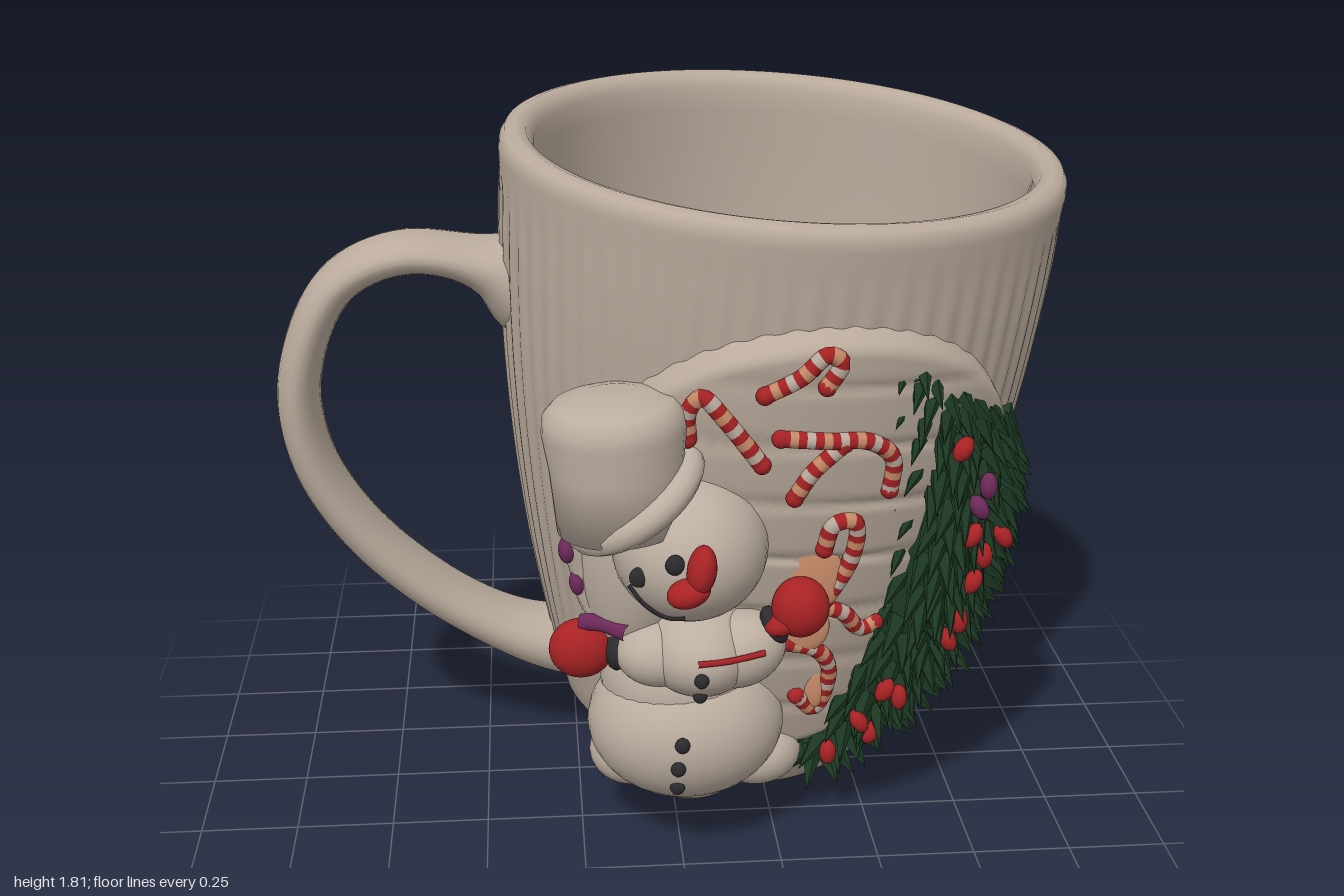
import * as THREE from 'three';
import { mergeVertices, mergeGeometries } from 'three/addons/utils/BufferGeometryUtils.js';

const mat = (name, color) => {
  const m = new THREE.MeshStandardMaterial({ color });
  m.name = name;
  return m;
};
const V = (x, y, z) => new THREE.Vector3(x, y, z);

// The mug leans a little and is slightly oval: its axis and its outer radius at a given height
const AXIS = V(0.066, 1, 0.084).normalize(), BASE = V(0.181, 0.05, -0.207);
const EX = 1.03, EZ = 0.98;
const cx = y => 0.178 + 0.066 * y;
const cz = y => -0.21 + 0.084 * y;
const radius = s => 0.687 - 0.27 * (1 - s / 1.68) ** 2;
// Point around the mug; angle in degrees from the front towards +x
const around = (deg, y, r) => {
  const a = THREE.MathUtils.degToRad(deg);
  return V(cx(y) + EX * r * Math.sin(a), y, cz(y) + EZ * r * Math.cos(a));
};
// Point raised above the front of the mug wall at x, y
const onFront = (x, y, off) => {
  const r = radius(y) + off;
  return V(x, y, cz(y) + EZ * Math.sqrt(Math.max(0, r * r - ((x - cx(y)) / EX) ** 2)));
};
// Keep buried vertices within the wall so nothing shows inside the mug
function outside(g) {
  const a = g.attributes.position, p = V(0, 0, 0);
  for (let i = 0; i < a.count; i++) {
    p.fromBufferAttribute(a, i);
    const dx = p.x - cx(p.y), dz = p.z - cz(p.y);
    const r = Math.hypot(dx / EX, dz / EZ), min = radius(p.clone().sub(BASE).dot(AXIS)) - 0.04;
    if (r < min) a.setXYZ(i, cx(p.y) + dx * min / r, p.y, cz(p.y) + dz * min / r);
  }
  return g;
}

// Smooth surface from a rule f(u, v) with u, v in 0..1
function surface(nu, nv, f) {
  const pos = [], idx = [];
  for (let i = 0; i <= nu; i++) for (let j = 0; j <= nv; j++) pos.push(...f(i / nu, j / nv).toArray());
  for (let i = 0; i < nu; i++) for (let j = 0; j < nv; j++) {
    const a = i * (nv + 1) + j, b = a + nv + 1;
    idx.push(a, b, a + 1, b, b + 1, a + 1);
  }
  const g = new THREE.BufferGeometry();
  g.setAttribute('position', new THREE.Float32BufferAttribute(pos, 3));
  g.setIndex(idx);
  const m = mergeVertices(g, 1e-5);
  m.computeVertexNormals();
  return m;
}

function mugGeometry() {
  const p = [[0, 0.03], [0.265, 0.03], [0.285, 0.02], [0.3, -0.01], [0.325, -0.018], [0.36, -0.005], [0.392, 0.03], [0.42, 0.075]];
  for (let s = 0.13; s < 1.64; s += 0.07) p.push([radius(s), s]);
  p.push([0.69, 1.645], [0.688, 1.67], [0.677, 1.691], [0.652, 1.7], [0.625, 1.692], [0.606, 1.66]);
  for (let s = 1.6; s > 0.5; s -= 0.1) p.push([radius(s) - 0.083, s]);
  p.push([0.435, 0.4], [0.38, 0.28], [0.3, 0.19], [0.2, 0.14], [0.1, 0.12], [0, 0.115]);
  const g = new THREE.LatheGeometry(p.map(q => new THREE.Vector2(...q)), 384);
  g.deleteAttribute('uv');
  g.deleteAttribute('normal');
  // Fine vertical ribs on the outer wall
  const a = g.attributes.position;
  for (let i = 0; i < a.count; i++) {
    const x = a.getX(i), y = a.getY(i), z = a.getZ(i), r = Math.hypot(x, z);
    if (y < 0.12 || y > 1.6 || r < radius(y) - 0.03) continue;
    const fade = Math.min(1, (y - 0.12) / 0.5, (1.6 - y) / 0.1);
    const k = 1 + 0.003 * fade * Math.cos(64 * Math.atan2(x, z)) / r;
    a.setXYZ(i, x * k, y, z * k);
  }
  const m = mergeVertices(g.scale(EX, 1, EZ), 1e-5);
  m.computeVertexNormals();
  return m;
}

function handleGeometry() {
  const path = new THREE.CatmullRomCurve3([
    V(-0.34, 1.37, -0.07), V(-0.46, 1.435, -0.06), V(-0.67, 1.472, -0.045), V(-0.84, 1.39, -0.05),
    V(-0.945, 1.15, -0.06), V(-0.93, 0.93, -0.075), V(-0.82, 0.71, -0.1), V(-0.62, 0.495, -0.14),
    V(-0.42, 0.36, -0.17), V(-0.29, 0.315, -0.18), V(-0.16, 0.31, -0.18)]);
  return outside(surface(80, 24, (u, v) => {
    const c = path.getPointAt(u), t = path.getTangentAt(u), f = v * Math.PI * 2;
    const n = V(-t.y, t.x, 0).normalize();
    const flare = Math.exp(-((u / 0.06) ** 2)) * 0.08 + Math.exp(-(((1 - u) / 0.11) ** 2)) * 0.04;
    c.addScaledVector(n, (0.05 + 0.014 * u + flare) * Math.cos(f));
    c.z -= (0.11 + flare * 0.5) * Math.sin(f);
    return c;
  }));
}

// Raised oval with plank grooves behind the figures
const panelGeometry = () => surface(44, 96, (u, v) => {
  const a = v * Math.PI * 2, deg = 5 + 56 * u * Math.cos(a), y = 0.825 + 0.65 * u * Math.sin(a);
  const edge = THREE.MathUtils.smoothstep(1 - u, 0, 0.12);
  const t = (((y + 0.0008 * deg) / 0.155) % 1) - 0.5;
  return around(deg, y, radius(y) - 0.02 + edge * (0.075 - 0.01 * (1 - u ** 6) * Math.exp(-((t / 0.08) ** 2))));
});

// Tree outline: height, left angle, right angle, outer radius
const ROWS = [[0.12, 10, 15, 0.5], [0.3, 18, 46, 0.61], [0.5, 24, 58, 0.68], [0.7, 27, 62, 0.72],
  [0.95, 27, 60, 0.745], [1.12, 24, 53, 0.735], [1.25, 20.5, 36, 0.725], [1.4, 17, 19, 0.715]];
const treeRow = y => {
  let i = 0;
  while (i < ROWS.length - 2 && y > ROWS[i + 1][0]) i++;
  const k = (y - ROWS[i][0]) / (ROWS[i + 1][0] - ROWS[i][0]);
  return ROWS[i].map((q, n) => THREE.MathUtils.lerp(q, ROWS[i + 1][n], k));
};
const onTree = (u, y, off) => {
  const [, l, r, rad] = treeRow(y);
  return around(THREE.MathUtils.lerp(l, r, u), y, rad - 0.07 * Math.abs(2 * u - 1) ** 6 + off);
};
// Front skin of the tree, with side skirts that run back into the wall
const treeBodyGeometry = () => surface(24, 32, (u, v) => {
  const y = 0.12 + v * 1.26, k = THREE.MathUtils.clamp((u - 0.1) / 0.8, 0, 1);
  return onTree(k, y, u < 0.05 || u > 0.95 ? -0.2 : -0.02);
});

function needlesGeometry() {
  let seed = 7;
  const rnd = () => (seed = (seed * 16807) % 2147483647) / 2147483647 - 0.5;
  const leaves = [];
  for (let n = 0; n < 26; n++) {
    const y = 0.17 + n * 0.0465, [, l, r] = treeRow(y), count = 2 + Math.round((r - l) / 6);
    for (let k = 0; k < count; k++) {
      const u = Math.min(1, Math.max(0, (k + 0.5 * (n % 2)) / (count - 0.5) + rnd() * 0.06));
      const a = THREE.MathUtils.degToRad(l + (r - l) * u), side = (2 * u - 1) * 0.7 + rnd() * 0.5;
      const out = V(Math.sin(a), 0, Math.cos(a)), tan = V(Math.cos(a), 0, -Math.sin(a));
      const dir = tan.clone().multiplyScalar(side).addScaledVector(out, 0.32).add(V(0, -0.7 + rnd() * 0.4, 0)).normalize();
      const across = dir.clone().cross(out).normalize();
      const len = 0.115 + rnd() * 0.03;
      const g = new THREE.ConeGeometry(0.038, len, 5).scale(1, 1, 0.55).translate(0, len * 0.3, 0).toNonIndexed();
      g.computeVertexNormals();
      g.applyMatrix4(new THREE.Matrix4().makeBasis(across, dir, across.clone().cross(dir)));
      const p = onTree(u, y + 0.02, -0.015);
      leaves.push(g.translate(p.x, p.y, p.z));
    }
  }
  // Pointed top
  const top = onTree(0.5, 1.37, -0.03);
  leaves.push(new THREE.ConeGeometry(0.035, 0.12, 5).rotateZ(0.2).translate(top.x, top.y, top.z).toNonIndexed());
  return outside(mergeGeometries(leaves));
}

export function createModel() {
  const clay = mat('clay', 0xbaab9c), snow = mat('snow', 0xbcaea0), green = mat('pine green', 0x1e3c25),
    red = mat('red', 0xa82224), dark = mat('charcoal', 0x2c2c30), plum = mat('plum', 0x6e2a5a),
    peach = mat('peach', 0xc88c6a);
  const model = new THREE.Group();
  const add = (name, geo, material, parent = model) => {
    const m = new THREE.Mesh(geo, material);
    m.name = name;
    parent.add(m);
    return m;
  };
  const group = name => {
    const g = new THREE.Group();
    g.name = name;
    model.add(g);
    return g;
  };
  const ball = (name, material, c, r, parent, turn = 0) => {
    const big = Math.max(...r) > 0.05;
    const g = new THREE.SphereGeometry(1, big ? 32 : 12, big ? 24 : 8).scale(...r).rotateZ(turn).translate(...c);
    return add(name, outside(g), material, parent);
  };
  const tube = (name, material, pts, r, parent) =>
    add(name, new THREE.TubeGeometry(new THREE.CatmullRomCurve3(pts), 32, r, 8), material, parent);

  // Mug
  const body = add('mugBody', mugGeometry(), clay);
  body.quaternion.setFromUnitVectors(V(0, 1, 0), AXIS);
  body.position.copy(BASE);
  add('handle', handleGeometry(), clay);
  add('reliefPanel', panelGeometry(), clay);

  // Tree
  const tree = group('tree');
  add('treeBody', outside(treeBodyGeometry()), green, tree);
  add('needles', needlesGeometry(), green, tree);
  [[0.25, 1.12], [0.4, 1.0], [0.3, 0.95], [0.3, 0.87], [0.45, 0.79], [0.62, 0.82], [0.4, 0.72], [0.45, 0.6],
    [0.42, 0.55], [0.15, 0.43], [0.35, 0.39], [0.15, 0.33], [0.5, 0.27], [0.25, 0.22]].forEach(([u, y], i) =>
    ball('berry', i === 1 || i === 2 ? plum : red, onTree(u, y, 0.02).toArray(), [0.022, 0.034, 0.026], tree, (i % 3 - 1) * 0.5));

  // Snowman
  const man = group('snowman');
  const head = [[0.01, 0.895, 0.5], [0.188, 0.18, 0.215]];
  const torso = [[0.04, 0.605, 0.43], [0.15, 0.125, 0.2]];
  const belly = [[0.015, 0.345, 0.35], [0.25, 0.2, 0.22]];
  ball('head', snow, ...head, man);
  ball('torso', snow, ...torso, man);
  ball('belly', snow, ...belly, man);
  ball('backing', snow, [-0.12, 0.88, 0.36], [0.15, 0.36, 0.18], man);
  ball('bellyBacking', snow, [0.0, 0.46, 0.33], [0.2, 0.2, 0.19], man);
  [[-0.12, 0.23, 0.3, 0.11], [0.03, 0.21, 0.33, 0.14], [0.2, 0.22, 0.3, 0.12]].forEach(([x, y, z, r]) =>
    ball('snowMound', snow, [x, y, z], [r, 0.09, r], man));
  ball('leftArm', snow, [0.13, 0.61, 0.5], [0.12, 0.095, 0.1], man, 0.3);
  ball('rightArm', snow, [-0.06, 0.6, 0.48], [0.11, 0.085, 0.1], man);
  ball('leftCuff', dark, [0.215, 0.68, 0.52], [0.03, 0.05, 0.05], man, 0.5);
  ball('rightCuff', dark, [-0.165, 0.595, 0.46], [0.03, 0.05, 0.05], man);
  ball('leftMitten', red, [0.275, 0.735, 0.54], [0.07, 0.075, 0.065], man);
  ball('leftThumb', red, [0.235, 0.7, 0.55], [0.05, 0.03, 0.04], man, 0.4);
  ball('rightMitten', red, [-0.25, 0.595, 0.44], [0.08, 0.075, 0.065], man);

  // Face and buttons, set on the ball they belong to
  const on = ([c, r], x, y) => V(x, y, c[2]
    + r[2] * Math.sqrt(Math.max(0, 1 - ((x - c[0]) / r[0]) ** 2 - ((y - c[1]) / r[1]) ** 2)));
  const stud = (name, b, x, y, r) => ball(name, dark, on(b, x, y).toArray(), [r, r * 1.1, 0.014], man);
  stud('eye', head, -0.04, 0.93, 0.023);
  stud('eye', head, -0.12, 0.88, 0.023);
  [[0.03, 0.59], [0.03, 0.53]].forEach(p => stud('button', torso, ...p, 0.018));
  [[-0.01, 0.38], [-0.02, 0.315], [-0.02, 0.25]].forEach(p => stud('button', belly, ...p, 0.019));
  tube('mouth', dark, [[-0.14, 0.845], [-0.1, 0.795], [-0.055, 0.765], [-0.01, 0.775]].map(p => on(head, ...p)), 0.008, man);
  ball('noseTop', red, [0.02, 0.92, 0.715], [0.034, 0.06, 0.05], man, -0.15);
  ball('noseTip', red, [-0.01, 0.868, 0.72], [0.052, 0.034, 0.045], man, 0.3);
  tube('armTrim', red, [V(0.02, 0.635, 0.63), V(0.1, 0.633, 0.612), V(0.185, 0.64, 0.59)], 0.008, man);

  // Scarf with plum fringe along the snowman's side
  tube('scarf', snow, [V(-0.26, 1.0, 0.42), V(-0.26, 0.9, 0.43), V(-0.24, 0.8, 0.42), V(-0.21, 0.7, 0.42),
    V(-0.14, 0.66, 0.46)], 0.035, man);
  [[-0.285, 0.955, 0.44], [-0.28, 0.86, 0.44], [-0.255, 0.77, 0.43]].forEach(c =>
    ball('fringe', plum, c, [0.022, 0.035, 0.026], man));
  tube('fringeEnd', plum, [V(-0.25, 0.67, 0.45), V(-0.2, 0.675, 0.47), V(-0.14, 0.665, 0.51)], 0.022, man);

  // Hat with a slanted rolled brim
  const hatProfile = [[0, 0], [0.15, 0], [0.157, 0.15], [0.168, 0.24], [0.163, 0.28], [0.14, 0.305], [0.08, 0.32], [0, 0.325]];
  const crown = add('hatCrown', new THREE.LatheGeometry(hatProfile.map(p => new THREE.Vector2(...p)), 36), snow, man);
  crown.position.set(-0.155, 0.97, 0.55);
  crown.rotation.z = 0.06;
  const brim = add('hatBrim', new THREE.TorusGeometry(0.155, 0.035, 12, 36), snow, man);
  brim.position.set(-0.125, 1.04, 0.535);
  brim.quaternion.setFromUnitVectors(V(0, 0, 1), V(-0.54, 0.82, 0.12).normalize());

  // Striped sweets on the panel
  const sweets = group('stripedSweets');
  [[[0, 1.18], [0, 1.25], [0.03, 1.29], [0.08, 1.24], [0.17, 1.12]],
    [[0.17, 1.3], [0.25, 1.345], [0.31, 1.4], [0.34, 1.38], [0.31, 1.32]],
    [[0.21, 1.19], [0.32, 1.18], [0.42, 1.17], [0.48, 1.12], [0.48, 1.03]],
    [[0.25, 1.03], [0.29, 1.1], [0.36, 1.17]],
    [[0.33, 0.88], [0.35, 0.95], [0.4, 0.95], [0.4, 0.85], [0.33, 0.7]],
    [[0.32, 0.71], [0.39, 0.68], [0.44, 0.62], [0.48, 0.63]],
    [[0.25, 0.6], [0.33, 0.57], [0.37, 0.5], [0.34, 0.37], [0.29, 0.42]]].forEach(pts => {
    const curve = new THREE.CatmullRomCurve3(pts.map(([x, y]) => onFront(x, y, 0.06)));
    const bands = Math.round(curve.getLength() / 0.02);
    const geo = new THREE.TubeGeometry(curve, bands * 2, 0.021, 8);
    for (let i = 0; i < bands; i++) geo.addGroup(i * 96, 96, [0, 1, 0, 2][i % 4]);
    add('stripedSweet', geo, [red, peach, snow], sweets);
    for (const t of [0, 1]) ball('sweetEnd', red, curve.getPoint(t).toArray(), [0.022, 0.022, 0.022], sweets);
  });
  [[0.31, 0.8, 0.07, 0.1], [0.29, 0.64, 0.07, 0.07], [0.34, 0.45, 0.03, 0.07]].forEach(([x, y, rx, ry]) =>
    ball('peachGlaze', peach, onFront(x, y, 0.05).toArray(), [rx, ry, 0.018], sweets));
  return model;
}
